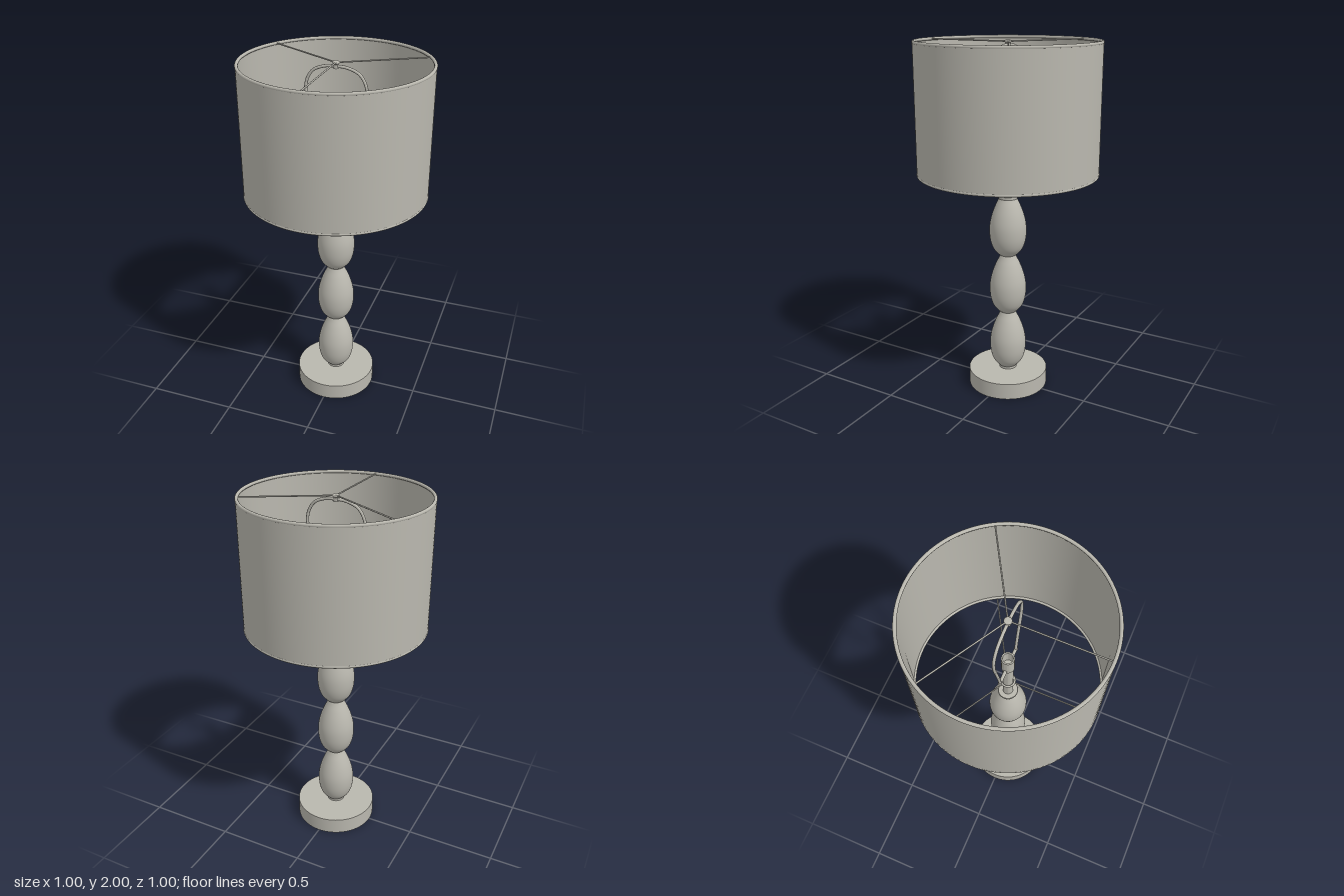
import * as THREE from 'three';
import { toCreasedNormals } from 'three/addons/utils/BufferGeometryUtils.js';

const grey = new THREE.MeshStandardMaterial({ color: 0xb9b7ae });
grey.name = 'warm grey';

export function createModel() {
  const lamp = new THREE.Group();
  lamp.name = 'tableLamp';

  const add = (name, geometry, parent = lamp) => {
    const mesh = new THREE.Mesh(geometry, grey);
    mesh.name = name;
    parent.add(mesh);
    return mesh;
  };
  const lathe = (points, segments = 64) => toCreasedNormals(
    new THREE.LatheGeometry(points.map(([r, y]) => new THREE.Vector2(r, y)), segments), 0.6);
  const rod = (a, b, radius) => new THREE.TubeGeometry(new THREE.LineCurve3(a, b), 1, radius, 10);

  // Round foot, hollowed underneath
  add('base', lathe([[0, 0.05], [0.193, 0.05], [0.193, 0], [0.23, 0], [0.23, 0.095], [0, 0.095]], 96));
  add('baseCollar', lathe([[0.045, 0.09], [0.05, 0.095], [0.05, 0.11], [0.04, 0.118]]));

  // Three stacked teardrop beads
  const beadProfile = new THREE.SplineCurve([
    [0.044, 0], [0.06, 0.013], [0.085, 0.045], [0.1, 0.09], [0.105, 0.14], [0.102, 0.19],
    [0.089, 0.245], [0.07, 0.295], [0.053, 0.33], [0.044, 0.35],
  ].map(([r, y]) => new THREE.Vector2(r, y)));
  const column = new THREE.Group();
  column.name = 'column';
  lamp.add(column);
  for (let i = 0; i < 3; i++) {
    add('bead', new THREE.LatheGeometry(beadProfile.getPoints(36), 64), column).position.y = 0.105 + i * 0.35;
  }

  // Neck, stem and socket
  add('neckCollar', lathe([[0.04, 1.135], [0.053, 1.14], [0.055, 1.147], [0.053, 1.155], [0, 1.158]]));
  add('stem', lathe([[0.028, 1.15], [0.028, 1.5], [0, 1.5]], 40));
  add('socket', lathe([[0, 1.47], [0.034, 1.47], [0.034, 1.58], [0.026, 1.58], [0.026, 1.5], [0, 1.5]], 40));

  // Thin drum shade with wire rims and three-armed spiders
  add('shade', lathe([[0.494, 1.284], [0.5, 1.284], [0.5, 1.996], [0.494, 1.996], [0.494, 1.284]], 128));
  for (const [y, hubRadius] of [[1.289, 0.036], [1.991, 0.014]]) {
    const frame = new THREE.Group();
    frame.name = 'shadeFrame';
    frame.position.y = y;
    lamp.add(frame);
    add('rim', new THREE.TorusGeometry(0.493, 0.009, 12, 128), frame).rotation.x = Math.PI / 2;
    add('hub', new THREE.TorusGeometry(hubRadius, 0.006, 10, 40), frame).rotation.x = Math.PI / 2;
    for (let i = 0; i < 3; i++) {
      const a = i * Math.PI * 2 / 3;
      const dir = new THREE.Vector3(Math.sin(a), 0, Math.cos(a));
      add('spoke', rod(dir.clone().multiplyScalar(hubRadius), dir.clone().multiplyScalar(0.492), 0.004), frame);
    }
  }

  // Harp: wire loop from the saddle up to the finial
  const half = [[0.1, 1.49], [0.112, 1.56], [0.137, 1.68], [0.161, 1.8], [0.16, 1.88], [0.125, 1.94], [0.06, 1.968]];
  const loop = [
    ...half.map(([x, y]) => new THREE.Vector3(x, y, 0)),
    new THREE.Vector3(0, 1.972, 0),
    ...half.slice().reverse().map(([x, y]) => new THREE.Vector3(-x, y, 0)),
  ];
  add('harp', new THREE.TubeGeometry(new THREE.CatmullRomCurve3(loop), 96, 0.008, 10));
  add('saddle', rod(new THREE.Vector3(-0.104, 1.487, 0), new THREE.Vector3(0.104, 1.487, 0), 0.009));
  for (const side of [-1, 1]) {
    add('saddleEnd', new THREE.SphereGeometry(0.011, 16, 12)).position.set(side * 0.102, 1.488, 0);
  }
  add('finial', lathe([[0, 1.96], [0.013, 1.96], [0.013, 1.982], [0.017, 1.986], [0.017, 1.996], [0.01, 2], [0, 2]], 32));

  return lamp;
}
